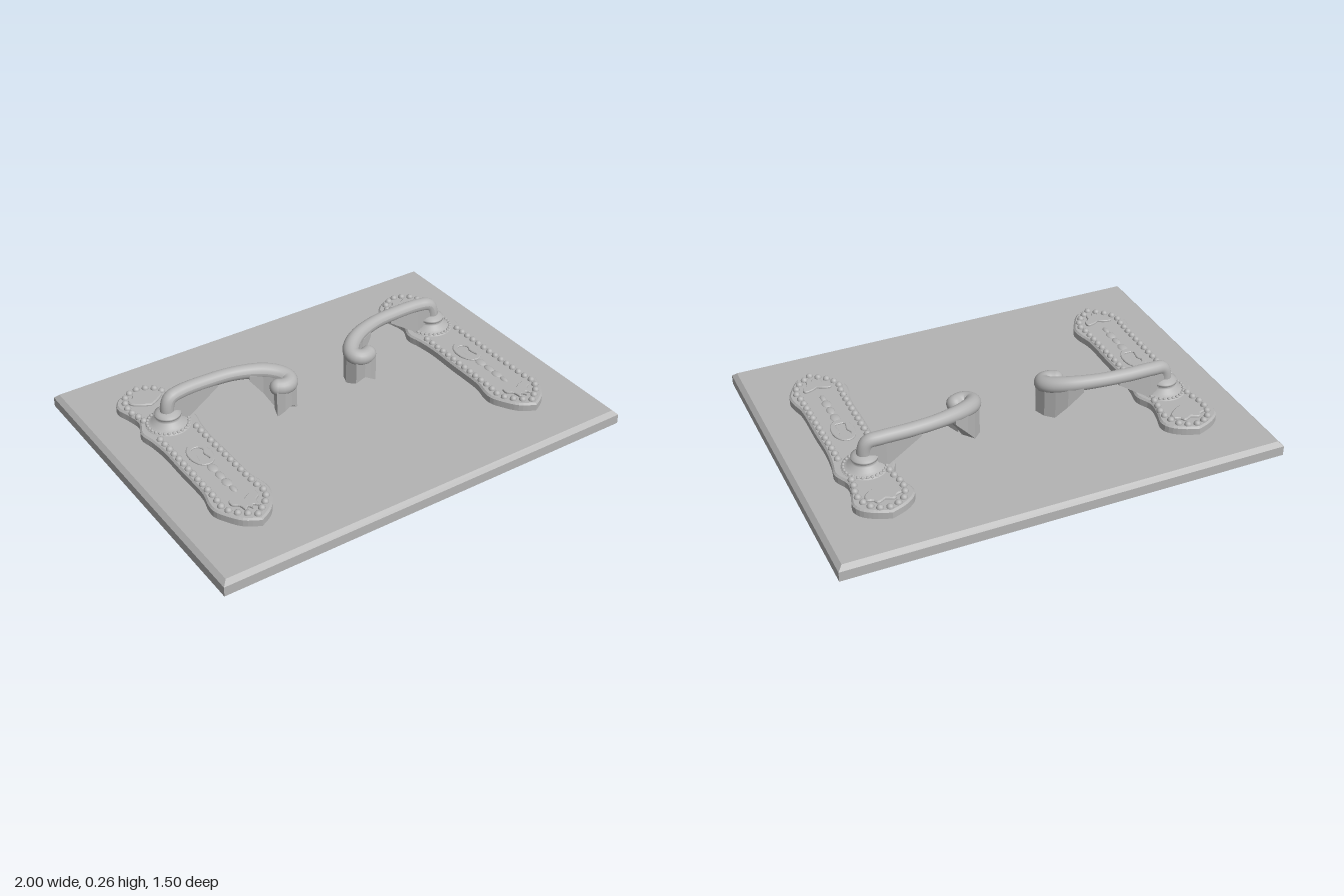
import * as THREE from 'three';

const metal = new THREE.MeshStandardMaterial({ color: 0xb4b4b4 });
metal.name = 'plain grey';
const STEM_Z = -0.225, BASE = 0.064, FACE = 0.102;

function part(name, geometry, parent, x = 0, y = 0, z = 0) {
  const mesh = new THREE.Mesh(geometry, metal);
  mesh.name = name;
  mesh.position.set(x, y, z);
  parent.add(mesh);
  return mesh;
}

// Symmetric outline from half widths [halfWidth, z], splined into a closed shape
function symmetricPoints(half, n) {
  const side = new THREE.SplineCurve(half.map(p => new THREE.Vector2(...p))).getSpacedPoints(n);
  const other = side.slice(1, -1).reverse().map(p => new THREE.Vector2(-p.x, p.y));
  return [...side, ...other];
}

// Horizontal plate with a softened top edge, between two heights
function plate(points, bottom, top, bevel, hole) {
  const shape = new THREE.Shape(points);
  if (hole) shape.holes.push(new THREE.Path(hole));
  const g = new THREE.ExtrudeGeometry(shape, {
    depth: top - bottom - bevel, bevelEnabled: bevel > 0, bevelThickness: bevel,
    bevelSize: bevel, bevelOffset: -bevel, bevelSegments: 1,
  });
  g.rotateX(Math.PI / 2);
  g.translate(0, top - bevel, 0);
  return g;
}

// Wall hanging below the handle; each row is [x, z, bottom, top]
function web(rows, half, side) {
  const up = new THREE.Vector3(0, 1, 0);
  const pts = rows.map(r => new THREE.Vector3(r[0] * side, 0, r[1]));
  const rings = rows.map((r, i) => {
    const t = pts[Math.min(i + 1, pts.length - 1)].clone().sub(pts[Math.max(i - 1, 0)]).normalize();
    const s = up.clone().cross(t).multiplyScalar(half);
    const at = (k, y) => [pts[i].x + k * s.x, y, pts[i].z + k * s.z];
    return [at(1, r[3]), at(-1, r[3]), at(-1, r[2]), at(1, r[2])];
  });
  const v = [];
  const quad = (a, b, c, d) => v.push(...a, ...b, ...c, ...a, ...c, ...d);
  for (let i = 0; i < rings.length - 1; i++) {
    for (let j = 0; j < 4; j++) {
      const k = (j + 1) % 4;
      quad(rings[i][j], rings[i][k], rings[i + 1][k], rings[i + 1][j]);
    }
  }
  quad(...rings[0].slice().reverse());
  quad(...rings[rings.length - 1]);
  const g = new THREE.BufferGeometry();
  g.setAttribute('position', new THREE.Float32BufferAttribute(v, 3));
  g.computeVertexNormals();
  return g;
}

// Board with chamfered upper edges
function buildBoard(parent) {
  let g = new THREE.BoxGeometry(2, BASE, 1.5, 1, 2, 1);
  g.translate(0, BASE / 2, 0);
  const p = g.attributes.position;
  for (let i = 0; i < p.count; i++) {
    const y = p.getY(i);
    if (y > BASE - 0.001) {
      p.setX(i, p.getX(i) - 0.02 * Math.sign(p.getX(i)));
      p.setZ(i, p.getZ(i) - 0.02 * Math.sign(p.getZ(i)));
    } else if (y > 0.01) p.setY(i, 0.045);
  }
  g = g.toNonIndexed();
  g.computeVertexNormals();
  part('board', g, parent);
}

// Ornamented back plate with beads, keyhole and rosette
function buildBackPlate(parent, x) {
  const group = new THREE.Group();
  group.name = 'backPlate';
  group.position.x = x;
  parent.add(group);

  const outline = symmetricPoints([[0, -0.55], [0.065, -0.525], [0.115, -0.487], [0.132, -0.44],
    [0.112, -0.37], [0.102, -0.3], [0.132, -0.225], [0.12, -0.15], [0.111, -0.05], [0.113, 0.09],
    [0.113, 0.26], [0.13, 0.34], [0.132, 0.39], [0.11, 0.44], [0.065, 0.505], [0, 0.545]], 64);
  part('plateBody', plate(outline, 0.05, FACE, 0.008), group);

  const beadPath = symmetricPoints([[0, -0.522], [0.06, -0.5], [0.092, -0.445], [0.098, -0.38],
    [0.082, -0.3], [0.1, -0.225], [0.088, -0.15], [0.087, 0], [0.09, 0.25], [0.092, 0.34],
    [0.097, 0.4], [0.07, 0.455], [0, 0.512]], 28);
  const bead = new THREE.SphereGeometry(0.016, 12, 8);
  for (const p of beadPath) {
    if (Math.abs(p.y - STEM_Z) > 0.06) part('edgeBead', bead, group, p.x, FACE, p.y);
  }

  // Keyhole surround and keyhole
  const oval = (a, b) => new THREE.EllipseCurve(0, 0.05, a, b).getPoints(32).slice(0, -1);
  const keyhole = symmetricPoints([[0, 0], [0.018, 0.006], [0.026, 0.025], [0.016, 0.05],
    [0.022, 0.095], [0, 0.098]], 16);
  part('keyholeSurround', plate(oval(0.052, 0.08), 0.095, 0.109, 0.003, keyhole), group);

  // Drop chain below the keyhole
  for (const [z, a, b] of [[0.155, 0.023, 0.032], [0.215, 0.019, 0.03], [0.27, 0.022, 0.03], [0.32, 0.014, 0.025]]) {
    const drop = part('drop', new THREE.SphereGeometry(1, 12, 8), group, 0, 0.1, z);
    drop.scale.set(a, 0.01, b);
  }

  // Crest at the rear end and palmette at the front end
  const crest = symmetricPoints([[0, -0.47], [0.035, -0.485], [0.05, -0.465], [0.075, -0.455],
    [0.075, -0.425], [0.04, -0.395], [0, -0.375]], 24);
  part('crest', plate(crest, 0.095, 0.113, 0.005), group);
  const palmette = symmetricPoints([[0, 0.405], [0.025, 0.39], [0.06, 0.385], [0.062, 0.415],
    [0.038, 0.435], [0.03, 0.47], [0.012, 0.455], [0, 0.475]], 28);
  part('palmette', plate(palmette, 0.095, 0.112, 0.003), group);

  // Turned rosette with a ring of small beads
  const profile = [[0.1, 0.095], [0.1, 0.106], [0.08, 0.109], [0.073, 0.119], [0.062, 0.124],
    [0.056, 0.134], [0.048, 0.14], [0.058, 0.148], [0.058, 0.157], [0.045, 0.165], [0.03, 0.17]];
  part('rosette', new THREE.LatheGeometry(profile.map(p => new THREE.Vector2(...p)), 32), group, 0, 0, STEM_Z);
  const small = new THREE.SphereGeometry(0.008, 8, 6);
  for (let i = 0; i < 28; i++) {
    const a = i / 28 * Math.PI * 2;
    part('rosetteBead', small, group, Math.cos(a) * 0.09, 0.107, STEM_Z + Math.sin(a) * 0.09);
  }
}

// Curved lever with a curled tip and the walls beneath it
function buildHandle(parent, side) {
  const group = new THREE.Group();
  group.name = side > 0 ? 'leftHandle' : 'rightHandle';
  parent.add(group);
  const path = [[0.702, 0.12, -0.225], [0.702, 0.185, -0.225], [0.685, 0.222, -0.228], [0.63, 0.232, -0.235],
    [0.5, 0.234, -0.236], [0.37, 0.233, -0.223], [0.25, 0.224, -0.185], [0.185, 0.21, -0.138],
    [0.168, 0.2, -0.1], [0.184, 0.195, -0.073], [0.215, 0.193, -0.068], [0.238, 0.193, -0.078]];
  const curve = new THREE.CatmullRomCurve3(path.map(p => new THREE.Vector3(p[0] * side, p[1], p[2])));
  const n = 72, radial = 20;
  const g = new THREE.TubeGeometry(curve, n, 0.031, radial);
  const pos = g.attributes.position, v = new THREE.Vector3();
  for (let i = 0; i <= n; i++) {
    const c = curve.getPointAt(i / n);
    const k = 1 + 0.2 * THREE.MathUtils.smoothstep(i / n, 0.5, 0.85);
    for (let j = 0; j <= radial; j++) {
      const q = i * (radial + 1) + j;
      v.fromBufferAttribute(pos, q).sub(c).multiplyScalar(k).add(c);
      pos.setXYZ(q, v.x, v.y, v.z);
    }
  }
  g.computeVertexNormals();
  part('lever', g, group);
  part('leverTip', new THREE.SphereGeometry(0.037, 20, 14), group, 0.238 * side, 0.193, -0.078);

  // Triangular wall beside the stem
  part('stemWeb', web([[0.69, -0.227, 0.1, 0.21], [0.615, -0.235, 0.1, 0.225], [0.46, -0.234, 0.205, 0.225]], 0.024, side), group);
  // Curved wall under the curl, notched at the front
  part('tipWeb', web([[0.31, -0.207, 0.2, 0.222], [0.25, -0.185, 0.125, 0.215], [0.21, -0.158, BASE, 0.21],
    [0.18, -0.13, 0.06, 0.2], [0.168, -0.1, 0.06, 0.195], [0.18, -0.076, 0.075, 0.19],
    [0.2, -0.069, 0.105, 0.19], [0.22, -0.069, 0.085, 0.19], [0.25, -0.08, 0.06, 0.19]], 0.033, side), group);
}

export function createModel() {
  const model = new THREE.Group();
  model.name = 'doorHandlePair';
  buildBoard(model);
  for (const side of [1, -1]) {
    buildBackPlate(model, 0.702 * side);
    buildHandle(model, side);
  }
  return model;
}
